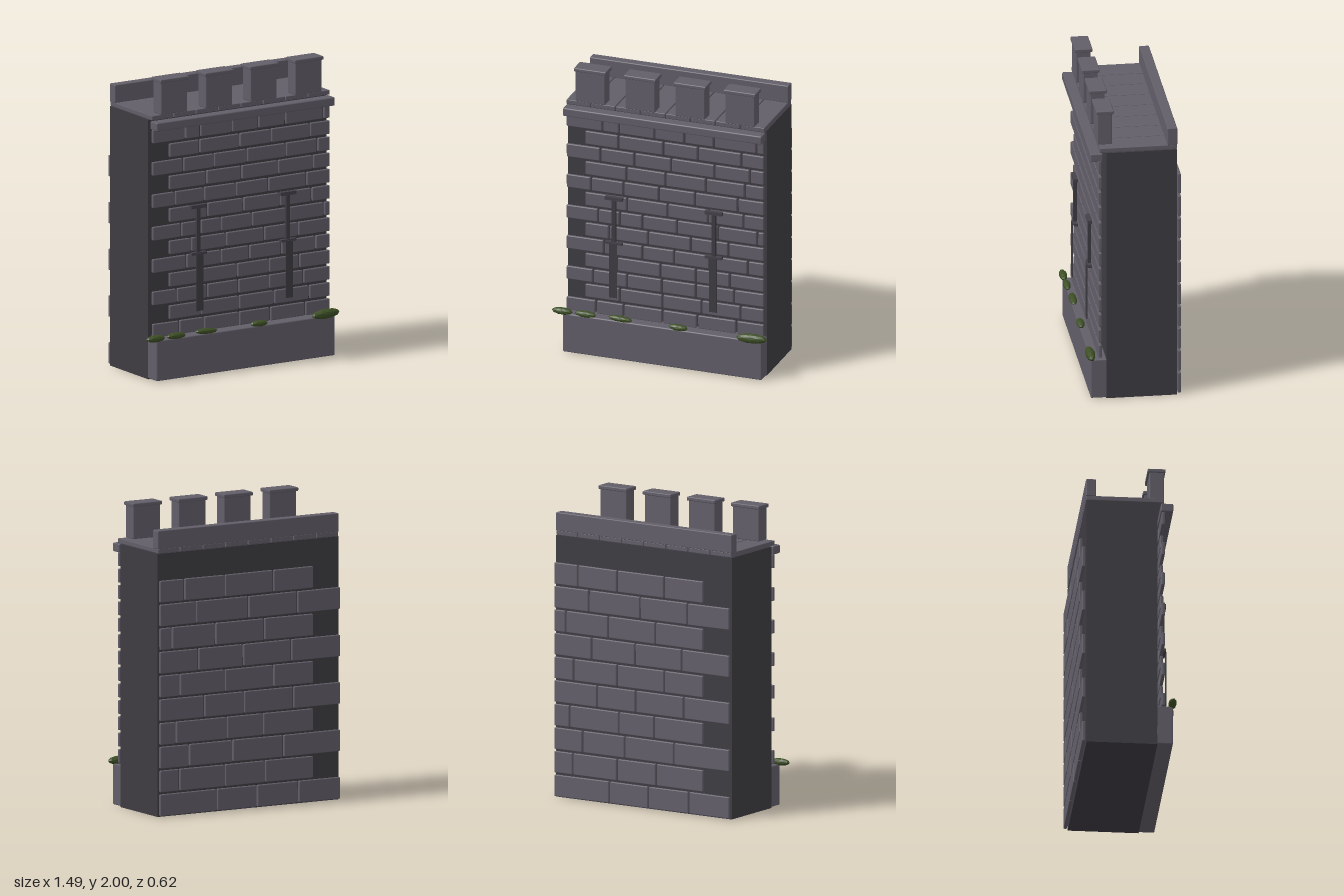
import * as THREE from 'three';
import { RoundedBoxGeometry } from 'three/addons/geometries/RoundedBoxGeometry.js';

const mat = (name, color, extra = {}) => Object.assign(new THREE.MeshStandardMaterial({ color, ...extra }), { name });

export function createModel() {
  const stone = mat('stone', 0x625e69);
  const darkStone = mat('darkStone', 0x3e3c42);
  const slitStone = mat('slitStone', 0x45424a);
  const moss = mat('moss', 0x3d4f24, { flatShading: true });
  const model = new THREE.Group();
  const L = -0.67, R = 0.705; // wall ends

  // small seeded wobble in -1..1
  let seed = 7;
  const wobble = () => {
    seed = (seed * 16807) % 2147483647;
    return (seed / 2147483647) * 2 - 1;
  };

  const group = (name) => {
    const g = new THREE.Group();
    g.name = name;
    model.add(g);
    return g;
  };

  // box given by its limits, with softened edges when bevel > 0
  const block = (parent, name, material, [x0, x1], [y0, y1], [z0, z1], bevel = 0) => {
    const s = [x1 - x0, y1 - y0, z1 - z0];
    const geo = bevel ? new RoundedBoxGeometry(...s, 1, bevel) : new THREE.BoxGeometry(...s);
    const m = new THREE.Mesh(geo, material);
    m.name = name;
    m.position.set((x0 + x1) / 2, (y0 + y1) / 2, (z0 + z1) / 2);
    parent.add(m);
    return m;
  };

  // wall core, plinth, cornice and rear parapet
  block(model, 'wallCore', darkStone, [L, R], [0, 1.73], [-0.282, 0.18]);
  block(model, 'plinth', stone, [L, R], [0.005, 0.275], [0.17, 0.282], 0.008);
  block(model, 'cornice', stone, [L, R], [1.67, 1.727], [0.203, 0.284], 0.008);
  block(model, 'rearParapet', stone, [L, R], [1.76, 1.882], [-0.285, -0.22], 0.006);

  // walkway slabs
  const walkway = group('walkway');
  const slabs = [L, -0.5, -0.328, -0.155, 0.018, 0.19, 0.362, 0.535, R];
  for (let i = 0; i < slabs.length - 1; i++) {
    block(walkway, 'slab', stone, [slabs[i] + 0.003, slabs[i + 1] - 0.003], [1.732, 1.763], [-0.284, 0.222], 0.004);
  }

  // merlons with caps
  const merlons = group('merlons');
  for (const x of [-0.5, -0.155, 0.19, 0.535]) {
    block(merlons, 'merlon', stone, [x - 0.102, x + 0.102], [1.762, 1.985], [0.134, 0.229], 0.006);
    block(merlons, 'merlonCap', stone, [x - 0.111, x + 0.111], [1.975, 2.0], [0.122, 0.238], 0.006);
  }

  // courses of bricks: joints per row from the bottom, odd rows set in
  const courses = (name, rows, inset, y0, pitch, height, z, gap) => {
    const g = group(name);
    rows.forEach((joints, i) => {
      const ends = [i % 2 ? inset : L, ...joints, R];
      const y = y0 + i * pitch;
      for (let k = 0; k < ends.length - 1; k++) {
        const b = block(g, 'brick', stone, [ends[k] + gap, ends[k + 1] - gap], [y, y + height], z, 0.006);
        b.rotation.z = wobble() * 0.006;
        b.position.z += wobble() * 0.001;
      }
    });
  };
  courses('frontBricks', [
    [-0.46, -0.27, 0.0, 0.24, 0.51],
    [-0.295, 0.0, 0.27, 0.54],
    [-0.48, -0.245, -0.005, 0.23, 0.495],
    [-0.315, -0.015, 0.23, 0.465],
    [-0.405, -0.14, 0.08, 0.325, 0.59],
    [-0.37, -0.1, 0.195, 0.455],
    [-0.445, -0.295, -0.14, 0.1, 0.385, 0.655],
    [-0.245, 0.035, 0.315, 0.56],
    [-0.495, -0.27, -0.025, 0.225, 0.52],
    [-0.25, 0.02, 0.3, 0.57],
    [-0.43, -0.195, 0.06, 0.36, 0.605],
    [-0.305, 0.005, 0.245, 0.545],
    [-0.415, -0.3, -0.055, 0.15, 0.355, 0.65],
  ], -0.54, 0.284, 0.108, 0.09, [0.208, 0.23], 0.006);
  courses('backBricks', [
    [-0.35, -0.035, 0.27],
    [-0.095, 0.21, 0.555],
    [-0.235, 0.15, 0.48],
    [-0.08, 0.195, 0.58],
    [-0.31, 0.065, 0.365],
    [-0.16, 0.21, 0.55],
    [-0.295, 0.07, 0.41],
    [-0.09, 0.28, 0.61],
    [-0.34, 0.03, 0.43],
    [-0.158, 0.21, 0.516],
  ], -0.465, 0.008, 0.156, 0.142, [-0.31, -0.288], 0.005);

  // arrow slits
  for (const [name, x] of [['rightSlit', -0.328], ['leftSlit', 0.362]]) {
    const g = group(name);
    block(g, 'slitLintel', slitStone, [x - 0.06, x + 0.06], [1.113, 1.136], [0.235, 0.262]);
    block(g, 'slitShaft', darkStone, [x - 0.013, x + 0.013], [0.81, 1.115], [0.235, 0.256]);
    block(g, 'slitCrossbar', slitStone, [x - 0.058, x + 0.058], [0.803, 0.82], [0.235, 0.262]);
    block(g, 'slitPanel', darkStone, [x - 0.027, x + 0.027], [0.43, 0.81], [0.261, 0.267]);
  }

  // moss clumps along the plinth edge
  const clumps = group('mossClumps');
  for (const [x, z, w, h, d] of [
    [-0.675, 0.277, 0.072, 0.024, 0.027], [-0.515, 0.275, 0.074, 0.022, 0.025],
    [-0.278, 0.267, 0.084, 0.02, 0.026], [0.125, 0.272, 0.066, 0.022, 0.027],
    [0.635, 0.277, 0.108, 0.033, 0.032],
  ]) {
    const m = new THREE.Mesh(new THREE.IcosahedronGeometry(1, 1), moss);
    m.name = 'mossClump';
    m.scale.set(w, h, d);
    m.position.set(x, 0.29, z);
    m.rotation.z = wobble() * 0.06;
    clumps.add(m);
  }
  return model;
}
